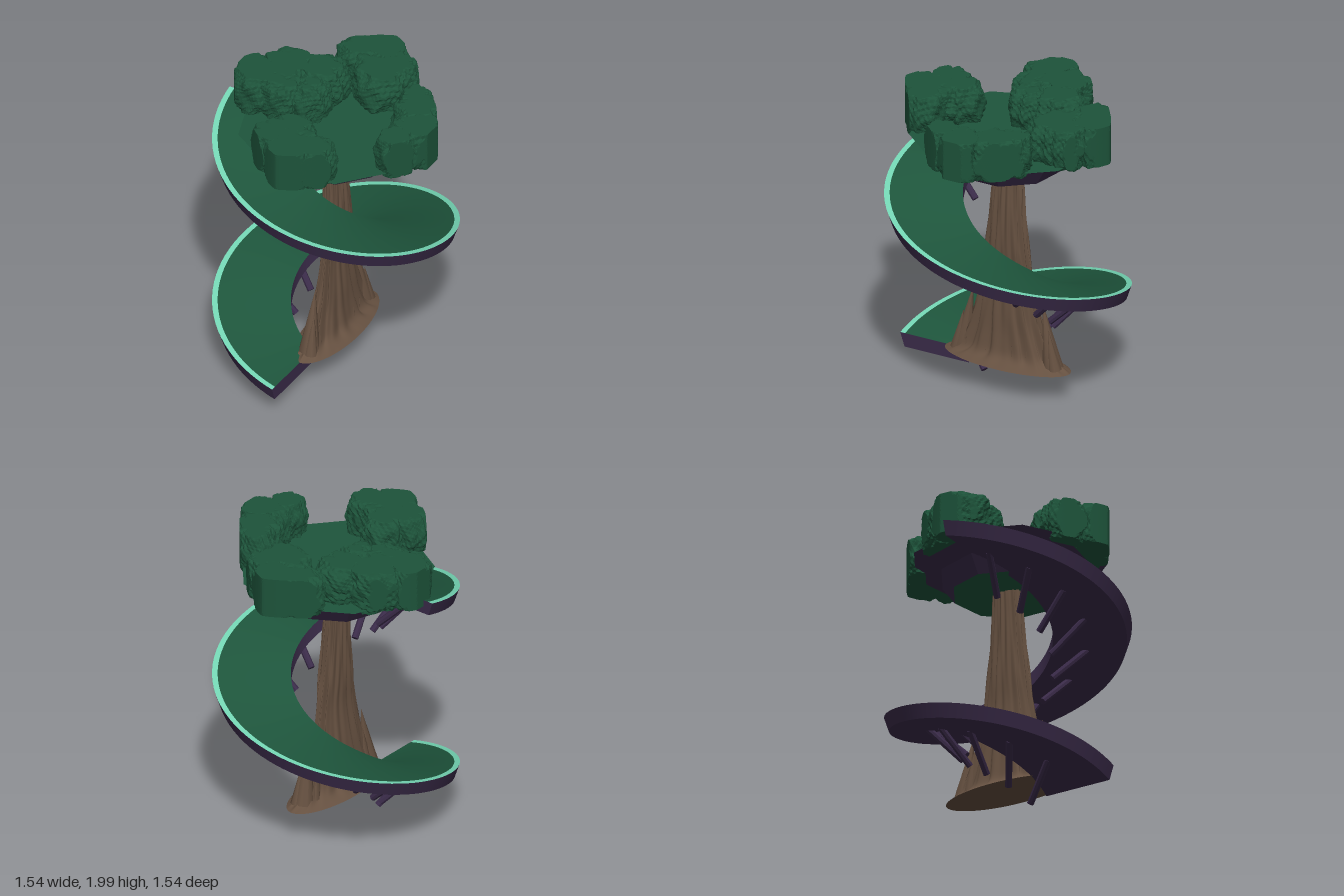
import * as THREE from 'three';

const PITCH = 1.25, TURN = Math.PI * 2.5, START_Y = 0.215;

// Point on the spiral: angle from the front, radius, height offset
const onSpiral = (a, r, dy) =>
  new THREE.Vector3(-Math.sin(a) * r, START_Y + (a / (Math.PI * 2)) * PITCH + dy, Math.cos(a) * r);

// Surface swept along the spiral between two section points [radius, dy]
function spiralStrip(p, q, steps = 110) {
  const pos = [], idx = [];
  for (let i = 0; i <= steps; i++) {
    const a = (i / steps) * TURN;
    pos.push(...onSpiral(a, ...p).toArray(), ...onSpiral(a, ...q).toArray());
    if (i < steps) {
      const k = i * 2;
      idx.push(k, k + 2, k + 3, k, k + 3, k + 1);
    }
  }
  return makeGeometry(pos, idx);
}

function makeGeometry(pos, idx) {
  const g = new THREE.BufferGeometry();
  g.setAttribute('position', new THREE.Float32BufferAttribute(pos, 3));
  g.setIndex(idx);
  g.computeVertexNormals();
  return g;
}

// Move every vertex by a rule
function reshape(g, rule) {
  const p = g.attributes.position, v = new THREE.Vector3();
  for (let i = 0; i < p.count; i++) {
    v.fromBufferAttribute(p, i);
    rule(v);
    p.setXYZ(i, v.x, v.y, v.z);
  }
  g.computeVertexNormals();
  return g;
}

export function createModel() {
  const model = new THREE.Group();
  const material = (name, color, extra = {}) => {
    const m = new THREE.MeshStandardMaterial({ color, ...extra });
    m.name = name;
    return m;
  };
  const purple = material('darkPurple', 0x3a2b49, { side: THREE.DoubleSide });
  const purpleFlat = material('darkPurpleFaceted', 0x3a2b49, { flatShading: true });
  const green = material('deckGreen', 0x1e553c, { side: THREE.DoubleSide });
  const leaf = material('leafGreen', 0x1d533a, { flatShading: true });
  const mint = material('mint', 0x74d6b4, { side: THREE.DoubleSide });
  const bark = material('bark', 0x655040);

  const add = (name, geometry, mat, parent = model) => {
    const m = new THREE.Mesh(geometry, mat);
    m.name = name;
    parent.add(m);
    return m;
  };

  // Spiral ramp: deck, bright rim, sides and underside
  const ramp = new THREE.Group();
  ramp.name = 'spiralRamp';
  model.add(ramp);
  const inTop = [0.28, 0], rimIn = [0.735, 0], outTop = [0.77, 0], outLow = [0.74, -0.093], inLow = [0.28, -0.093];
  add('rampDeck', spiralStrip(inTop, rimIn), green, ramp);
  add('rampRim', spiralStrip(rimIn, outTop), mint, ramp);
  add('rampOuterSide', spiralStrip(outTop, outLow), purple, ramp);
  add('rampUnderside', spiralStrip(outLow, inLow), purple, ramp);
  add('rampInnerSide', spiralStrip(inLow, inTop), purple, ramp);
  for (const [name, a, idx] of [['rampStartCap', 0, [0, 1, 2, 0, 2, 3]], ['rampEndCap', TURN, [0, 2, 1, 0, 3, 2]]]) {
    const corners = [inTop, outTop, outLow, inLow].flatMap((s) => onSpiral(a, ...s).toArray());
    add(name, makeGeometry(corners, idx), purple, ramp);
  }

  // Slanted struts under the ramp
  const up = new THREE.Vector3(0, 1, 0);
  for (let i = 1; i <= 15; i++) {
    const a = THREE.MathUtils.degToRad(28.8 * i);
    const low = onSpiral(a, 0.28, -0.29), high = onSpiral(a, 0.5, -0.08);
    const dir = high.clone().sub(low);
    const strut = add('rampStrut', new THREE.CylinderGeometry(0.022, 0.022, dir.length(), 8), purpleFlat, ramp);
    strut.position.copy(low).add(high).multiplyScalar(0.5);
    strut.quaternion.setFromUnitVectors(up, dir.normalize());
  }

  // Trunk: broad in z, thin in x, with grooved bark
  const outline = new THREE.CatmullRomCurve3([
    [0.17, 0.215, 0.44], [0.11, 0.27, 0.37], [0.088, 0.38, 0.31], [0.075, 0.55, 0.245], [0.055, 0.8, 0.19],
    [0.067, 1.0, 0.16], [0.065, 1.25, 0.13], [0.058, 1.45, 0.115], [0.054, 1.6, 0.105],
  ].map((p) => new THREE.Vector3(...p)));
  add('trunk', reshape(new THREE.CylinderGeometry(1, 1, 1, 128, 40), (v) => {
    const t = v.y + 0.5, c = outline.getPoint(t), th = Math.atan2(v.z, v.x);
    const groove = 0.5 + 0.3 * Math.cos(14 * th + Math.sin(t * 9) * 1.4) + 0.2 * Math.cos(22 * th - t * 6);
    const s = 1 - 0.21 * groove * Math.min(1, t * 7);
    const sway = 0.01 * Math.sin(t * 8) * t;
    v.set(v.x * c.x * s - sway, c.y, v.z * c.z * s);
  }), bark);

  // Pointed buttress roots at the two broad ends, and small root shards
  const spike = (name, x, y, z, r, h, lean) => {
    const m = add(name, new THREE.ConeGeometry(r, h, 9), bark);
    m.position.set(x, y + h / 2, z);
    m.rotation.x = lean;
  };
  for (const s of [1, -1]) {
    spike('buttressRoot', 0, 0.23, s * 0.285, 0.068, 0.43, -s * 0.17);
    spike('buttressRoot', 0.025, 0.23, s * 0.325, 0.045, 0.27, -s * 0.17);
    spike('buttressRoot', -0.03, 0.23, s * 0.24, 0.045, 0.33, -s * 0.12);
  }
  for (let i = 0; i < 18; i++) {
    const a = i * 2.4, k = 0.8 + 0.08 * Math.sin(i * 5);
    spike('rootShard', Math.cos(a) * 0.1 * k, 0.23, Math.sin(a) * 0.4 * k, 0.008, 0.1 + 0.04 * Math.sin(i * 3), 0);
  }

  // Nine-sided treetop platform
  const platform = new THREE.Group();
  platform.name = 'platform';
  platform.rotation.y = -Math.PI / 2;
  model.add(platform);
  const tier = (name, rTop, rLow, y0, y1) => {
    const m = add(name, new THREE.CylinderGeometry(rTop, rLow, y1 - y0, 9, 1, true), purpleFlat, platform);
    m.position.y = (y0 + y1) / 2;
  };
  tier('platformLowerWall', 0.436, 0.355, 1.572, 1.683);
  tier('platformUpperWall', 0.615, 0.436, 1.683, 1.768);
  for (const [name, r, y, turn] of [['platformFloor', 0.615, 1.768, -1], ['platformBase', 0.355, 1.572, 1]]) {
    const disc = add(name, new THREE.CircleGeometry(r, 9, Math.PI / 2), green, platform);
    disc.rotation.x = turn * Math.PI / 2;
    // line the corners up with the walls
    disc.geometry.rotateZ(turn > 0 ? 0 : Math.PI);
    disc.position.y = y;
  }

  // Foliage: knobbly lobes [x, z, radius, height], trimmed flat above, below and around a rounded diamond
  const clusters = {
    backFoliage: [[-0.15, -0.54, 0.15, 0.16], [0.1, -0.4, 0.18, 0.17], [-0.01, -0.62, 0.15, 0.2],
      [0.15, -0.5, 0.13, 0.16], [-0.02, -0.46, 0.13, 0.14]],
    rightFoliage: [[-0.55, 0.03, 0.15, 0.17], [-0.24, -0.23, 0.17, 0.16], [-0.21, -0.04, 0.13, 0.14],
      [-0.44, -0.16, 0.18, 0.17], [-0.37, 0.03, 0.14, 0.15], [-0.62, -0.03, 0.12, 0.21]],
    leftFoliage: [[0.49, -0.18, 0.16, 0.17], [0.61, 0, 0.13, 0.21], [0.53, 0.17, 0.12, 0.17],
      [0.41, -0.28, 0.11, 0.16], [0.51, 0.03, 0.1, 0.15]],
    frontFoliage: [[-0.08, 0.38, 0.14, 0.16], [0.15, 0.52, 0.14, 0.17], [-0.16, 0.51, 0.14, 0.17],
      [0.01, 0.63, 0.14, 0.2], [0, 0.49, 0.16, 0.15]],
  };
  const bumps = (v, k) =>
    0.06 * Math.sin(v.x * 7 + k) * Math.sin(v.y * 6 + k * 2) + 0.06 * Math.sin(v.z * 11 + k * 3)
    + 0.05 * Math.sin(v.x * 19 - v.y * 17 + k) * Math.cos(v.z * 21);
  let seed = 0;
  for (const [name, lobes] of Object.entries(clusters)) {
    const group = new THREE.Group();
    group.name = name;
    model.add(group);
    for (const [x, z, r, h] of lobes) {
      const k = ++seed * 1.7;
      add('foliageLobe', reshape(new THREE.IcosahedronGeometry(1, 11), (v) => {
        const s = 1.02 + bumps(v, k);
        // fuller shoulders than a ball
        const full = 1 + 0.25 * v.y * v.y;
        v.set(x + v.x * r * s * full, THREE.MathUtils.clamp(1.865 + v.y * h * s, 1.735, 2), z + v.z * r * s * full);
        const reach = (Math.abs(v.x) ** 1.25 + Math.abs(v.z) ** 1.25) ** 0.8;
        const trim = Math.min(1, 0.728 / reach);
        v.x = THREE.MathUtils.clamp(v.x * trim, -0.7, 0.7);
        v.z *= trim;
      }), leaf, group);
    }
  }
  return model;
}
